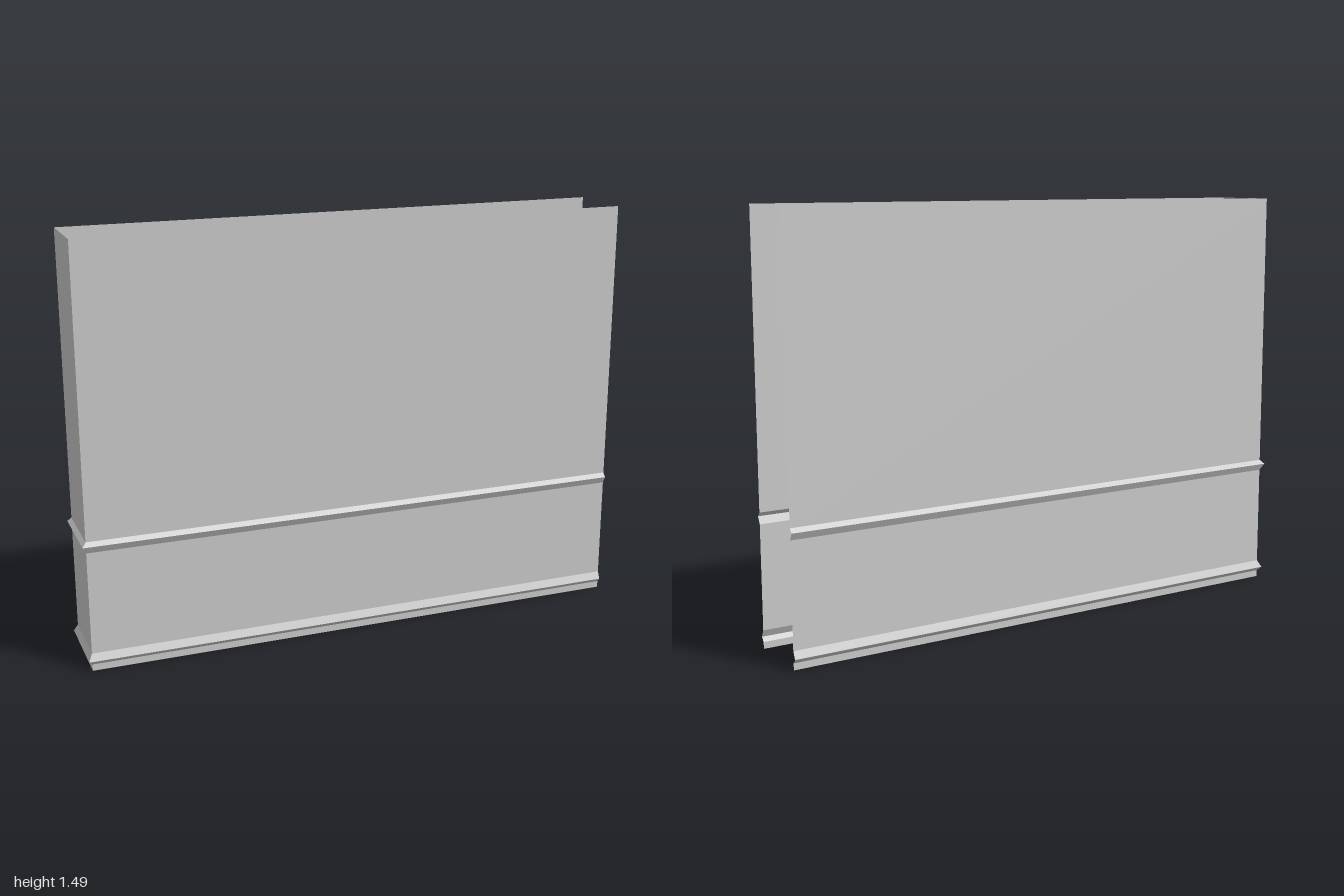
import * as THREE from 'three';

const OPEN_X = 1, CLOSED_X = -0.987, HALF_DEPTH = 0.125;

// Sheet profile from the floor up: [height, outward offset]
const BANDS = {
  plinth: [[0, 0], [0.024, 0]],
  lowerRidge: [[0.024, 0], [0.039, 0.013], [0.065, 0]],
  lowerPanel: [[0.065, 0], [0.433, 0]],
  upperRidge: [[0.433, 0], [0.458, 0.013], [0.473, 0]],
  upperPanel: [[0.473, 0], [1.49, 0]],
};

// U-shaped plan, open at +x, pushed outward by an offset with mitred corners
function plan(offset) {
  const x = CLOSED_X - offset, z = HALF_DEPTH + offset;
  return [[OPEN_X, -z], [x, -z], [x, z], [OPEN_X, z]];
}

// Sweep a profile around the plan, one flat quad per wall and profile step
function sweep(profile) {
  const positions = [];
  for (let i = 0; i < profile.length - 1; i++) {
    const [y0, o0] = profile[i], [y1, o1] = profile[i + 1];
    const low = plan(o0), high = plan(o1);
    for (let j = 0; j < low.length - 1; j++) {
      const a = [low[j][0], y0, low[j][1]];
      const b = [low[j + 1][0], y0, low[j + 1][1]];
      const c = [high[j + 1][0], y1, high[j + 1][1]];
      const d = [high[j][0], y1, high[j][1]];
      positions.push(...a, ...b, ...c, ...a, ...c, ...d);
    }
  }
  const geometry = new THREE.BufferGeometry();
  geometry.setAttribute('position', new THREE.Float32BufferAttribute(positions, 3));
  geometry.computeVertexNormals();
  return geometry;
}

export function createModel() {
  const group = new THREE.Group();
  group.name = 'wallSection';
  const material = new THREE.MeshStandardMaterial({
    color: 0xcccccc, flatShading: true, side: THREE.DoubleSide,
  });
  for (const [name, profile] of Object.entries(BANDS)) {
    const mesh = new THREE.Mesh(sweep(profile), material);
    mesh.name = name;
    group.add(mesh);
  }
  return group;
}
